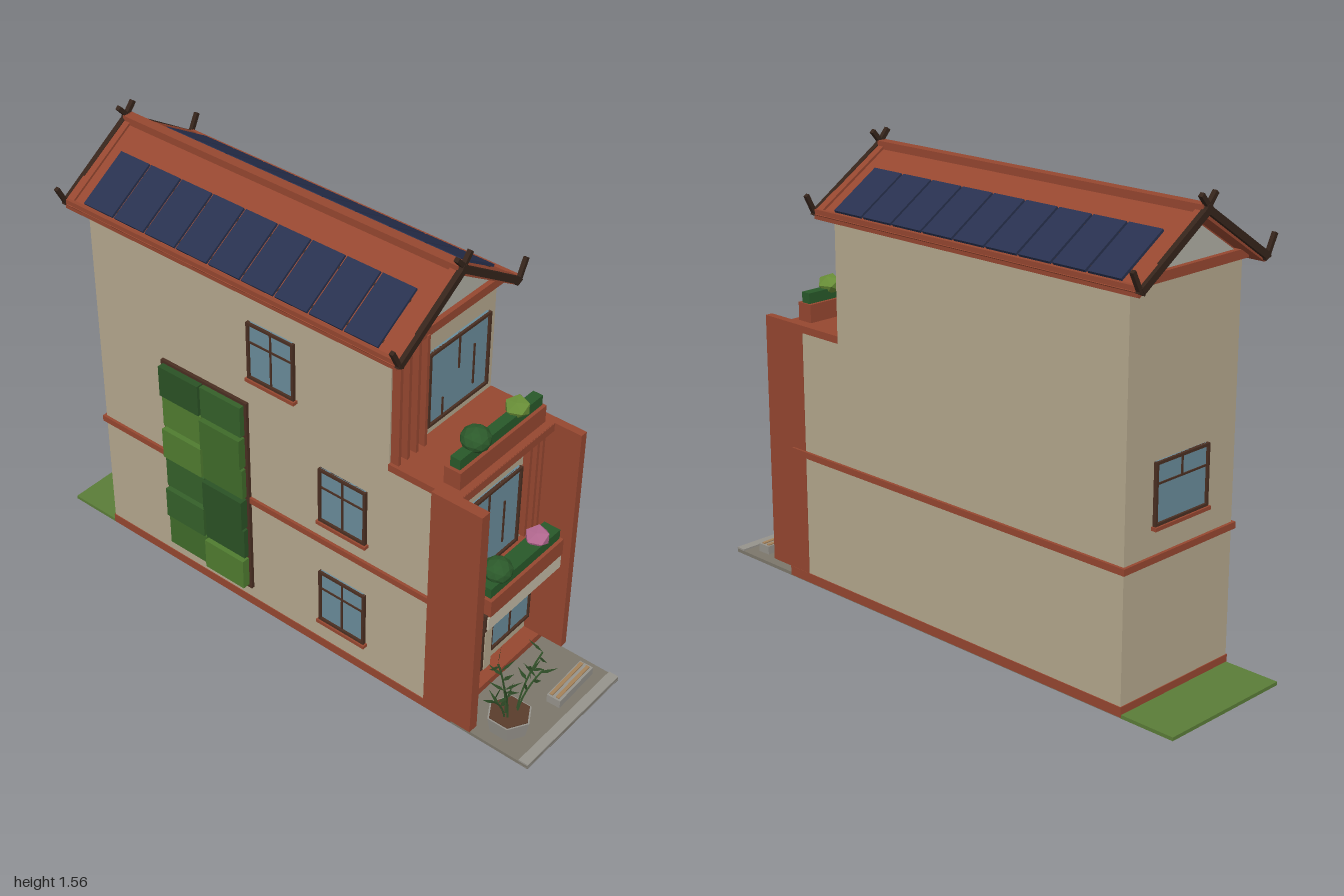
import * as THREE from 'three';

const C = {
  wall: 0xb5a88e, red: 0x964730, frame: 0x4a2f22, dark: 0x35241b, glass: 0x6a8c9b, gable: 0xb0aea4,
  panel: 0x28314f, paving: 0x7c776b, stone: 0x96938c, grass: 0x5b7d38, hedge: 0x28592a,
  bush: 0x2c5a2b, lime: 0x6a9038, pink: 0xb56a92, soil: 0x5a3d2c, leaf: 0x33522a, wood: 0xa5825a, board: 0xc4bba6,
};
const mats = {};
const mat = (c, side = THREE.FrontSide) => (mats[c + '_' + side] ??=
  new THREE.MeshStandardMaterial({ color: c, flatShading: true, side }));

export function createModel() {
  const root = new THREE.Group();
  root.name = 'townHouse';

  const add = (name, geo, color, parent = root, side) => {
    const m = new THREE.Mesh(geo, mat(color, side));
    m.name = name;
    parent.add(m);
    return m;
  };
  // Box given by its limits on each axis
  const box = (name, color, x0, x1, y0, y1, z0, z1, parent = root) => {
    const m = add(name, new THREE.BoxGeometry(x1 - x0, y1 - y0, z1 - z0), color, parent);
    m.position.set((x0 + x1) / 2, (y0 + y1) / 2, (z0 + z1) / 2);
    return m;
  };
  const group = (name, parent = root) => {
    const g = new THREE.Group();
    g.name = name;
    parent.add(g);
    return g;
  };
  // Bar between two points in a plane of constant z
  const bar = (name, color, ax, ay, bx, by, z, t, d, parent = root) => {
    const m = add(name, new THREE.BoxGeometry(Math.hypot(bx - ax, by - ay), t, d), color, parent);
    m.position.set((ax + bx) / 2, (ay + by) / 2, z);
    m.rotation.z = Math.atan2(by - ay, bx - ax);
    return m;
  };

  // Plot
  box('pavement', C.paving, -0.25, 0.25, 0, 0.012, -0.8, 1);
  box('curb', C.stone, -0.25, 0.25, 0.002, 0.018, 0.965, 1);
  box('lawn', C.grass, -0.25, 0.25, 0, 0.012, -1, -0.8);

  // Body with set-back top floor
  box('lowerFloors', C.wall, -0.25, 0.25, 0.012, 0.9, -0.8, 0.64);
  box('topFloor', C.wall, -0.25, 0.25, 0.9, 1.33, -0.8, 0.43);
  box('plinth', C.red, -0.253, 0.253, 0.004, 0.037, -0.803, 0.7);
  box('floorBand', C.red, -0.26, 0.26, 0.46, 0.482, -0.81, 0.665);

  // Portal around the front
  box('leftFin', C.red, 0.225, 0.252, 0.037, 0.92, 0.605, 0.79);
  box('rightFin', C.red, -0.272, -0.235, 0.037, 0.92, 0.605, 0.79);
  box('terraceSlab', C.red, -0.255, 0.252, 0.895, 0.92, 0.43, 0.69);
  box('portalBeam', C.red, -0.24, 0.23, 0.89, 0.919, 0.605, 0.692);

  // Framed window facing +z, its origin at the middle of the pane
  const makeWindow = (name, w, h, { uprights = [], rail, sill } = {}) => {
    const g = group(name), t = 0.009, d = 0.012, W = w / 2, H = h / 2;
    box('glass', C.glass, -W, W, -H, H, -0.004, 0.004, g);
    box('frameTop', C.frame, -W, W, H - t, H, 0, d, g);
    box('frameBottom', C.frame, -W, W, -H, -H + t, 0, d, g);
    for (const s of [-1, 1]) box('frameSide', C.frame, s * W - t / 2, s * W + t / 2, -H, H, 0, d, g);
    for (const [x, y0, y1] of uprights)
      box('mullion', C.frame, x - 0.003, x + 0.003, y0 * H, y1 * H, 0, 0.008, g);
    if (rail !== undefined) box('rail', C.frame, -W, W, rail * H - 0.003, rail * H + 0.003, 0, 0.008, g);
    if (sill) box('sill', C.red, -W - 0.01, W + 0.01, -H - 0.012, -H, -0.004, 0.018, g);
    return g;
  };
  const dashes = (w) => [[-0.26 * w, -1, -0.45], [0, 0.05, 1], [0.26 * w, -0.7, 0.4]];

  // Front openings
  makeWindow('entranceDoor', 0.17, 0.325, { uprights: [[0, -0.5, 0.25]] }).position.set(-0.115, 0.2, 0.645);
  makeWindow('shopWindow', 0.21, 0.295, { uprights: [[0, -0.95, 0]] }).position.set(0.12, 0.238, 0.645);
  makeWindow('middleWindow', 0.315, 0.3, { uprights: dashes(0.315) }).position.set(-0.038, 0.645, 0.645);
  makeWindow('topWindow', 0.29, 0.27, { uprights: dashes(0.29) }).position.set(0.062, 1.095, 0.435);
  box('doorColumn', C.wall, -0.025, 0.01, 0.037, 0.375, 0.64, 0.66);

  // Timber slats beside the upper windows
  for (const x of [0.15, 0.187, 0.215]) box('middleSlat', C.red, x - 0.006, x + 0.006, 0.5, 0.89, 0.64, 0.665);
  for (const x of [-0.238, -0.197, -0.155, -0.115]) box('topSlat', C.red, x - 0.006, x + 0.006, 0.92, 1.325, 0.43, 0.46);

  // Side and back windows with sills
  for (const [y, z] of [[1.08, -0.03], [0.66, 0.255], [0.235, 0.255]]) {
    const w = makeWindow('sideWindow', 0.18, 0.21, { uprights: [[0, -1, 1]], rail: 0.3, sill: true });
    w.position.set(-0.251, y, z);
    w.rotation.y = -Math.PI / 2;
  }
  const back = makeWindow('backWindow', 0.235, 0.2, { uprights: [[0, 0.3, 1]], rail: 0.3, sill: true });
  back.position.set(0.005, 0.675, -0.801);
  back.rotation.y = Math.PI;

  // Canopy under the balcony
  box('canopyPlate', C.wall, -0.235, 0.225, 0.372, 0.386, 0.64, 0.72);
  box('canopyFrame', C.frame, -0.2, 0.195, 0.405, 0.47, 0.64, 0.775);
  box('canopyBoard', C.board, -0.192, 0.187, 0.412, 0.462, 0.77, 0.781);
  for (const x of [-0.21, 0.205]) box('canopyBracket', C.red, x - 0.012, x + 0.012, 0.44, 0.47, 0.64, 0.76);

  // Planters with hedge and bushes
  const planter = (name, x0, x1, y, z0, z1, second) => {
    const g = group(name), zc = (z0 + z1) / 2;
    box('trough', C.red, x0, x1, y, y + 0.062, z0, z1, g);
    box('hedge', C.hedge, x0 + 0.012, x1 - 0.006, y + 0.062, y + 0.098, z0 + 0.012, z1 - 0.012, g);
    const a = add('darkBush', new THREE.IcosahedronGeometry(0.049, 1), C.bush, g);
    a.position.set(-0.105, y + 0.112, zc);
    a.scale.y = 0.86;
    const b = add('smallBush', new THREE.IcosahedronGeometry(0.043, 0), second, g);
    b.position.set(0.1, y + 0.108, zc);
    b.scale.y = 0.85;
    b.rotation.y = 0.4;
  };
  planter('terracePlanter', -0.215, 0.212, 0.92, 0.605, 0.665, C.lime);
  planter('balconyPlanter', -0.19, 0.187, 0.468, 0.7, 0.785, C.pink);
  box('balconyFloor', C.red, -0.19, 0.187, 0.468, 0.482, 0.64, 0.72);

  // Green wall: two columns of planted panels
  const greens = [0x3f6b2a, 0x2b5225, 0x507c30, 0x35602a];
  box('greenWallBack', C.frame, -0.262, -0.25, 0.085, 0.865, -0.505, -0.135);
  for (let r = 0; r < 6; r++) for (let c = 0; c < 2; c++) {
    const y = 0.1 + r * 0.1275, z = -0.495 + c * 0.178, out = 0.276 + ((r * 2 + c * 3) % 4) * 0.005;
    box('greenPanel', greens[(r * 3 + c * 2 + (r >> 1)) % 4], -out, -0.26, y, y + 0.117, z, z + 0.172);
  }

  // Roof
  const roof = group('roof');
  const Z0 = -0.86, Z1 = 0.478, mid = (Z0 + Z1) / 2, len = Z1 - Z0, slope = 0.63;
  const roofY = (x) => 1.505 - slope * x;
  const tri = (name, color, w, y0, y1, z0, z1) => {
    const s = new THREE.Shape([new THREE.Vector2(-w, y0), new THREE.Vector2(w, y0), new THREE.Vector2(0, y1)]);
    const m = add(name, new THREE.ExtrudeGeometry(s, { depth: z1 - z0, bevelEnabled: false }), color, roof);
    m.position.z = z0;
  };
  tri('gableCore', C.red, 0.25, 1.325, 1.485, -0.8, 0.43);
  tri('frontGable', C.gable, 0.2, 1.346, 1.472, 0.43, 0.438);
  tri('backGable', C.gable, 0.2, 1.346, 1.472, -0.808, -0.8);
  box('frontTieBeam', C.red, -0.25, 0.25, 1.316, 1.346, 0.43, 0.455, roof);
  box('backTieBeam', C.red, -0.25, 0.25, 1.316, 1.346, -0.825, -0.8, roof);
  box('ridgeCap', C.red, -0.018, 0.018, 1.48, 1.52, Z0, Z1, roof);

  for (const s of [-1, 1]) {
    bar('roofSlope', C.red, 0, roofY(0) - 0.012, s * 0.287, roofY(0.287) - 0.012, mid, 0.022, len, roof);
    box('eaveBoard', C.red, s * 0.284 - 0.007, s * 0.284 + 0.007, 1.306, 1.338, Z0, Z1, roof);
    // Raised borders framing the slope ends
    for (const z of [Z0 + 0.014, Z1 - 0.014])
      bar('slopeBorder', C.red, 0, roofY(0) + 0.003, s * 0.287, roofY(0.287) + 0.003, z, 0.012, 0.028, roof);
    // Solar panels on mounting rails
    for (const x of [0.13, 0.25])
      box('panelRail', C.frame, s * x - 0.004, s * x + 0.004, roofY(x) - 0.004, roofY(x) + 0.005, -0.785, 0.4, roof);
    for (let i = 0; i < 9; i++)
      bar('solarPanel', C.panel, s * 0.1, roofY(0.1) + 0.009, s * 0.275, roofY(0.275) + 0.009,
        -0.727 + i * 0.133, 0.009, 0.124, roof);
    // Dark bargeboards with crossed ridge tips and upturned eave horns
    for (const z of [Z0 - 0.004, Z1 + 0.006]) {
      bar('bargeboard', C.dark, -s * 0.012, roofY(0) + 0.008, s * 0.28, roofY(0.28) - 0.005, z, 0.023, 0.018, roof);
      bar('ridgeTip', C.dark, -s * 0.018, 1.494, s * 0.033, 1.552, z, 0.015, 0.015, roof);
      bar('eaveHorn', C.dark, s * 0.268, 1.318, s * 0.292, 1.329, z, 0.02, 0.015, roof);
      bar('eaveHornTip', C.dark, s * 0.285, 1.322, s * 0.318, 1.386, z, 0.014, 0.014, roof);
    }
  }

  // Stone pot with bamboo
  const pot = group('bambooPot');
  pot.position.set(-0.152, 0.012, 0.855);
  add('pot', new THREE.CylinderGeometry(0.076, 0.064, 0.062, 6), C.stone, pot).position.y = 0.031;
  add('soil', new THREE.CylinderGeometry(0.07, 0.07, 0.006, 6), C.soil, pot).position.y = 0.062;
  const leafShape = new THREE.Shape([[0, 0], [0.007, 0.022], [0, 0.062], [-0.007, 0.022]].map((p) => new THREE.Vector2(...p)));
  const leafGeo = new THREE.ShapeGeometry(leafShape);
  const stems = [[-0.085, 0.25, 0.03], [-0.04, 0.29, -0.03], [0.115, 0.26, 0.03], [0.09, 0.22, 0.055], [-0.1, 0.19, -0.005]];
  stems.forEach(([dx, h, dz], i) => {
    const base = new THREE.Vector3(dx * 0.25, 0.06, dz * 0.25);
    const path = new THREE.QuadraticBezierCurve3(base, new THREE.Vector3(dx * 0.4, h * 0.7, dz * 0.4), new THREE.Vector3(dx, h, dz));
    add('bambooStem', new THREE.TubeGeometry(path, 6, 0.0032, 5), C.leaf, pot);
    for (let k = 0; k < 6; k++) {
      const l = add('bambooLeaf', leafGeo, C.leaf, pot, THREE.DoubleSide);
      l.position.copy(path.getPoint(0.5 + k * 0.1));
      l.rotation.order = 'YXZ';
      l.rotation.set(0, i * 1.1 + k * 0.5, (k % 2 ? 1 : -1) * (0.5 + 0.15 * k));
    }
  });

  // Bench with timber slats
  const bench = group('bench');
  bench.position.set(0.112, 0.012, 0.905);
  bench.rotation.y = 0.03;
  box('seatBlock', C.stone, -0.097, 0.097, 0, 0.03, -0.025, 0.025, bench);
  for (const z of [-0.014, 0.01]) box('seatSlat', C.wood, -0.09, 0.09, 0.03, 0.034, z - 0.006, z + 0.006, bench);

  return root;
}
